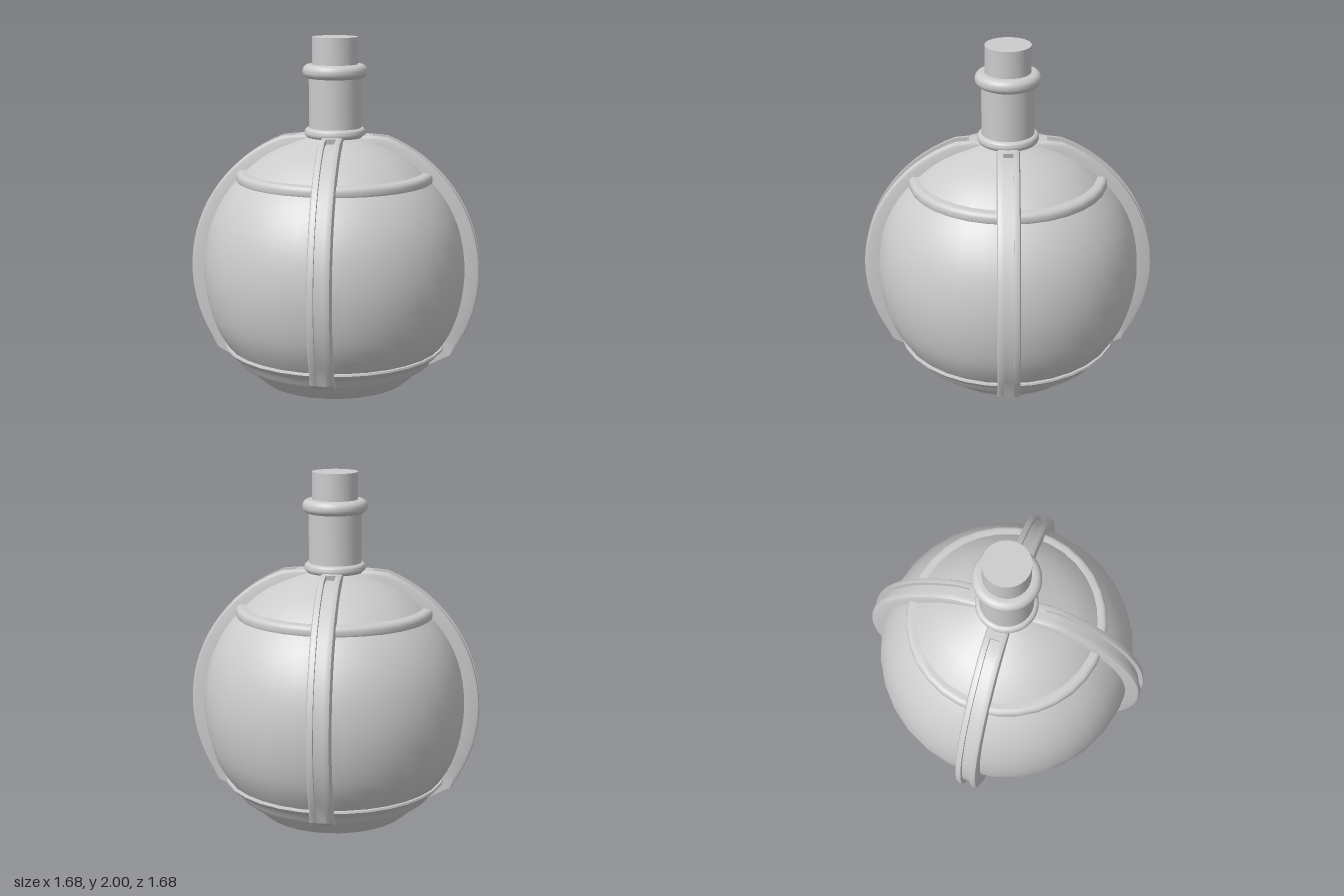
import * as THREE from 'three';
import { toCreasedNormals } from 'three/addons/utils/BufferGeometryUtils.js';

const material = new THREE.MeshStandardMaterial({ color: 0xcccccc });
const vec = ([x, y]) => new THREE.Vector2(x, y);

function addMesh(parent, name, geometry, crease = 0.6) {
  const mesh = new THREE.Mesh(toCreasedNormals(geometry, crease), material);
  mesh.name = name;
  parent.add(mesh);
  return mesh;
}

// Turned part from [radius, height] points, bottom to top
const turned = (points, segments = 32) => new THREE.LatheGeometry(points.map(vec), segments);

// Ring with a rounded rectangular section
function roundedRing(inner, outer, bottom, top, corner, segments = 32) {
  const points = [[inner, bottom]];
  for (const [cy, start] of [[bottom + corner, -Math.PI / 2], [top - corner, 0]]) {
    for (let i = 0; i <= 5; i++) {
      const a = start + (i / 5) * Math.PI / 2;
      points.push([outer - corner + corner * Math.cos(a), cy + corner * Math.sin(a)]);
    }
  }
  points.push([inner, top]);
  return turned(points, segments);
}

// Curved strap with a groove, in the x-y plane; width runs along z
function strapGeometry() {
  const stations = []; // outer point, inner point, groove depth
  const groove = 0.028;
  stations.push([[0.13, 1.447], [0.13, 1.36], 0]);
  stations.push([[0.22, 1.445], [0.2, 1.35], 0]);
  stations.push([[0.22, 1.445], [0.2, 1.35], groove]);
  const steps = 22;
  for (let i = 0; i <= steps; i++) {
    const a = THREE.MathUtils.degToRad(69 - (i / steps) * 99);
    const at = (r) => [r * Math.cos(a), 0.65 + r * Math.sin(a)];
    stations.push([at(0.842), at(0.71), groove]);
  }
  stations.push([[0.7, 0.172], [0.55, 0.095], groove]);

  const section = (d) => [
    [-0.064, null], [-0.064, 0.018], [-0.058, 0.005], [-0.045, 0], [-0.028, 0], [-0.028, d],
    [0.028, d], [0.028, 0], [0.045, 0], [0.058, 0.005], [0.064, 0.018], [0.064, null],
  ];
  const positions = [];
  const index = [];
  for (const [o, n, d] of stations) {
    const outer = vec(o);
    const inner = vec(n);
    const inward = inner.clone().sub(outer).normalize();
    for (const [z, depth] of section(d)) {
      const p = depth === null ? inner : outer.clone().addScaledVector(inward, depth);
      positions.push(p.x, p.y, z);
    }
  }
  const count = 12;
  for (let s = 0; s < stations.length - 1; s++) {
    for (let k = 0; k < count; k++) {
      const a = s * count + k;
      const b = s * count + (k + 1) % count;
      index.push(a, b, a + count, b, b + count, a + count);
    }
  }
  // Lower end cap
  const last = (stations.length - 1) * count;
  const outline = section(groove).map(([z, depth]) => new THREE.Vector2(z, depth === null ? -0.17 : -depth));
  for (const [a, b, c] of THREE.ShapeUtils.triangulateShape(outline, [])) {
    const area = (outline[b].x - outline[a].x) * (outline[c].y - outline[a].y)
      - (outline[b].y - outline[a].y) * (outline[c].x - outline[a].x);
    // Cap faces down and away from the strap
    if (area > 0) index.push(last + a, last + c, last + b);
    else index.push(last + a, last + b, last + c);
  }
  const geometry = new THREE.BufferGeometry();
  geometry.setAttribute('position', new THREE.Float32BufferAttribute(positions, 3));
  geometry.setIndex(index);
  return geometry;
}

export function createModel() {
  const model = new THREE.Group();
  model.name = 'bottle';

  // Round body on a tapered foot
  const curve = new THREE.SplineCurve([
    [0.54, 0.1], [0.645, 0.235], [0.725, 0.4], [0.762, 0.64], [0.737, 0.87],
    [0.665, 1.05], [0.55, 1.2], [0.38, 1.34], [0.14, 1.44],
  ].map(vec));
  const profile = curve.getPoints(24).map((p) => [p.x, p.y]);
  addMesh(model, 'body', turned([[0, 0], [0.43, 0], ...profile]));

  // Stepped bands round the foot
  addMesh(model, 'footBand', turned([
    [0.5, 0.1], [0.55, 0.1], [0.567, 0.112], [0.575, 0.13], [0.605, 0.17], [0.605, 0.18], [0.5, 0.18],
  ]));
  addMesh(model, 'footRim', turned([
    [0.52, 0.165], [0.605, 0.168], [0.625, 0.18], [0.648, 0.205], [0.645, 0.216], [0.6, 0.218],
  ]));

  // Shoulder band, neck and stopper
  addMesh(model, 'shoulderBand', roundedRing(0.5, 0.57, 1.163, 1.237, 0.03));
  addMesh(model, 'neckCollar', roundedRing(0.13, 0.175, 1.428, 1.485, 0.025, 48));
  addMesh(model, 'neck', turned([[0.15, 1.4], [0.15, 1.8]], 48));
  addMesh(model, 'lip', roundedRing(0.11, 0.185, 1.767, 1.846, 0.037, 48));
  addMesh(model, 'stopper', turned([[0.13, 1.78], [0.13, 2], [0, 2]], 48));

  // Four grooved straps
  const strap = strapGeometry();
  ['left', 'back', 'right', 'front'].forEach((side, i) => {
    addMesh(model, side + 'Strap', strap, 0.5).rotation.y = i * Math.PI / 2;
  });
  return model;
}
